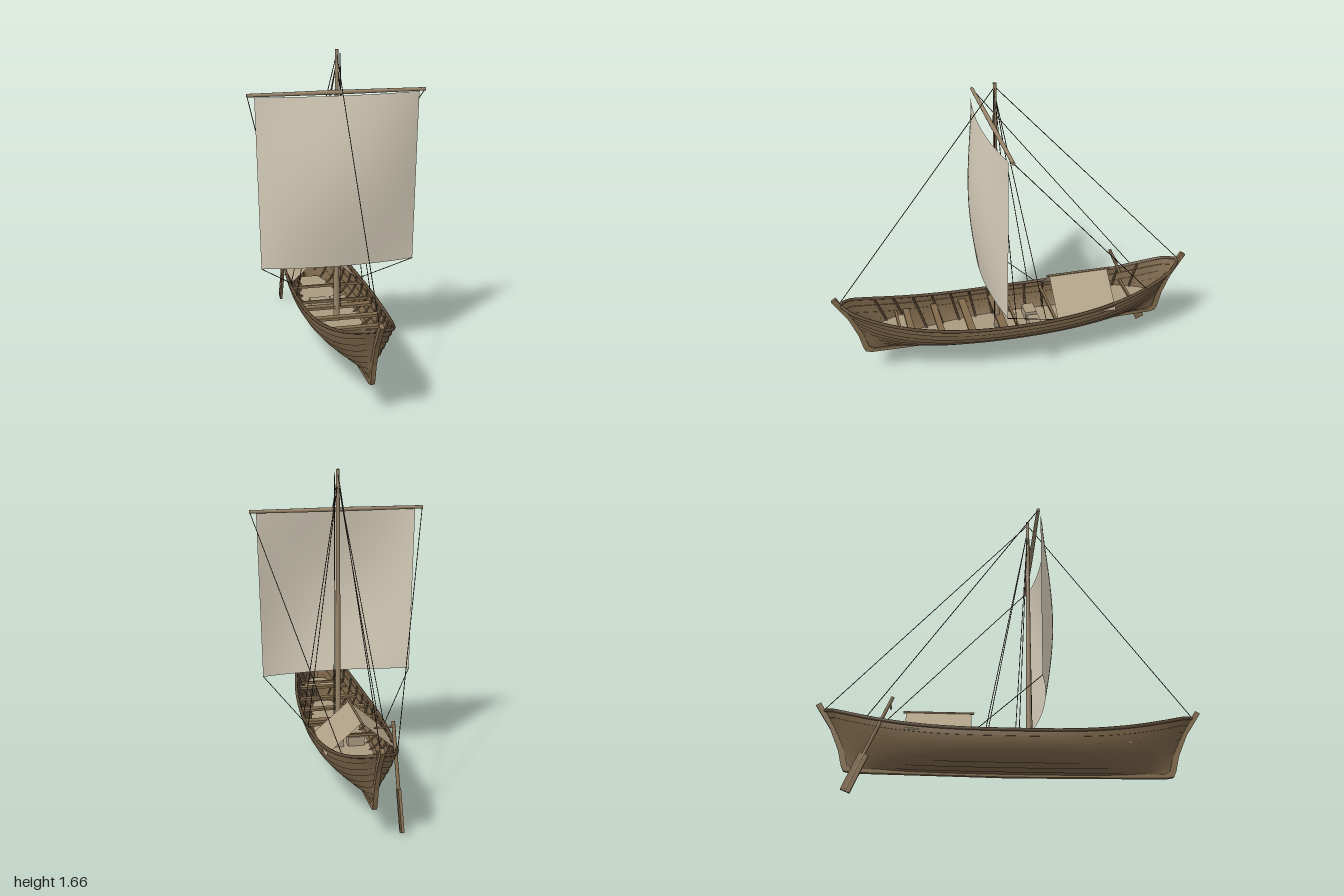
import * as THREE from 'three';
import { mergeGeometries } from 'three/addons/utils/BufferGeometryUtils.js';

const flat = (name, color, side = THREE.FrontSide) => {
  const m = new THREE.MeshStandardMaterial({ color, side });
  m.name = name;
  return m;
};
const V = (x, y, z) => new THREE.Vector3(x, y, z);
const mix = THREE.MathUtils.lerp;

// Surface from a function of (a, b), both 0..1
function grid(fn, na, nb) {
  const pos = [], idx = [];
  for (let i = 0; i <= na; i++) for (let j = 0; j <= nb; j++) pos.push(...fn(i / na, j / nb).toArray());
  for (let i = 0; i < na; i++) for (let j = 0; j < nb; j++) {
    const p = i * (nb + 1) + j, q = p + nb + 1;
    idx.push(p, q, p + 1, q, q + 1, p + 1);
  }
  const g = new THREE.BufferGeometry();
  g.setAttribute('position', new THREE.Float32BufferAttribute(pos, 3));
  g.setIndex(idx);
  g.computeVertexNormals();
  return g;
}

// Hull skin: u runs stern to bow (-1..1), v from keel to sheer (0..1)
function hull(u, v, out = 0, side = 1) {
  const t = v * Math.PI / 2, end = Math.pow(u, 4), a = Math.abs(u);
  const beam = 0.193 * Math.pow(Math.max(0, 1 - u * u), 0.55) + 0.012;
  const keelY = 0.16 + 0.01 * u * u, sheerY = 0.325 + 0.155 * Math.pow(a, 2.6);
  const y = keelY + (sheerY - keelY) * mix(1 - Math.cos(t), v, end);
  const yEnd = 0.17 + 0.31 * v;
  const zEnd = 0.82 + 0.15 * Math.pow((yEnd - 0.17) / 0.34, 1.5);
  const x = beam * mix(Math.sin(t), v, end);
  return V(side * (x + out * Math.sin(t)), y - out * Math.cos(t), u * zEnd);
}

// Half width of the hull at a given height and station
function halfWidth(z, y) {
  for (let v = 0; v <= 1; v += 0.01) {
    const zEnd = hull(1, v).z;
    if (Math.abs(z) > zEnd) continue;
    const p = hull(z / zEnd, v);
    if (p.y >= y) return p.x;
  }
  return hull(z / 0.945, 1).x;
}

export function createModel() {
  const model = new THREE.Group();
  const planks = flat('hull planks', 0x776247, THREE.DoubleSide);
  const trim = flat('dark trim', 0x5f4d38);
  const bench = flat('bench wood', 0x806a4c);
  const deck = flat('deck boards', 0xaa9a80, THREE.DoubleSide);
  const spar = flat('spar wood', 0x97846a);
  const sailcloth = flat('sailcloth', 0xd6cdb9, THREE.DoubleSide);
  const tentcloth = flat('tent cloth', 0xb0a186, THREE.DoubleSide);
  const rope = flat('rope', 0x3d3429);

  const add = (name, geo, mat, parent = model) => {
    const m = new THREE.Mesh(geo, mat);
    m.name = name;
    parent.add(m);
    return m;
  };
  const group = (name) => {
    const g = new THREE.Group();
    g.name = name;
    model.add(g);
    return g;
  };
  // Straight round bar between two points
  const bar = (name, a, b, r0, r1, mat, parent, sides = 10) => {
    const m = add(name, new THREE.CylinderGeometry(r1, r0, a.distanceTo(b), sides), mat, parent);
    m.position.copy(a).add(b).multiplyScalar(0.5);
    m.quaternion.setFromUnitVectors(V(0, 1, 0), b.clone().sub(a).normalize());
    return m;
  };

  // Overlapping planks, with a narrow ledge under each
  const strakes = [], N = 8, LAP = 0.006;
  for (const s of [-1, 1]) for (let k = 0; k < N; k++) {
    const v0 = k / N, v1 = (k + 1) / N;
    strakes.push(grid((a, b) => hull(a * 2 - 1, mix(v0, v1, b), LAP * (1 - b), s), 56, 3));
    if (k) strakes.push(grid((a, b) => hull(a * 2 - 1, v0, LAP * b, s), 56, 1));
  }
  add('hullPlanks', mergeGeometries(strakes), planks);

  // Keel and both curved end posts in one outline
  const outer = [[0.8, 0.152], [0.84, 0.16], [0.853, 0.19], [0.872, 0.27], [0.92, 0.385], [1, 0.51]];
  const inner = [[0.975, 0.525], [0.89, 0.385], [0.842, 0.27], [0.82, 0.19], [0.79, 0.172]];
  const rim = [...outer, ...inner];
  const keelShape = new THREE.Shape();
  keelShape.moveTo(0, 0.142);
  rim.forEach(([z, y]) => keelShape.lineTo(z, y));
  keelShape.lineTo(0, 0.165);
  rim.slice().reverse().forEach(([z, y]) => keelShape.lineTo(-z, y));
  const keelGeo = new THREE.ExtrudeGeometry(keelShape, { depth: 0.022, bevelEnabled: false });
  keelGeo.translate(0, 0, -0.011).rotateY(-Math.PI / 2);
  add('keelAndPosts', keelGeo, bench);

  // Gunwales and ribs
  const ribs = group('ribs');
  for (const s of [-1, 1]) {
    const rail = [], inside = [];
    for (let i = 0; i <= 40; i++) rail.push(hull(i / 20 - 1, 1, 0.002, s));
    add('gunwale', new THREE.TubeGeometry(new THREE.CatmullRomCurve3(rail), 80, 0.009, 6), trim);
    for (let k = -7; k <= 7; k++) {
      const pts = [0.3, 0.45, 0.6, 0.8, 0.98].map((v) => hull(k * 0.115, v, -0.005, s));
      add('rib', new THREE.TubeGeometry(new THREE.CatmullRomCurve3(pts), 10, 0.006, 4), trim, ribs);
    }
  }

  // Floor and raised end decks
  const floor = (name, z0, z1, y) => add(name, grid((a, b) => {
    const z = mix(z0, z1, a);
    return V((halfWidth(z, y) - 0.003) * (1 - 2 * b), y, z);
  }, 16, 1), deck);
  floor('floor', -0.62, 0.62, 0.2);
  floor('bowDeck', 0.6, 0.81, 0.285);
  floor('sternDeck', -0.81, -0.55, 0.285);

  // Benches and cross beams: [z, depth, y]
  const benches = group('benches');
  for (const [z, d, y] of [[-0.66, 0.014, 0.31], [-0.2, 0.014, 0.29], [0.015, 0.014, 0.28], [0.09, 0.045, 0.275],
    [0.265, 0.04, 0.28], [0.43, 0.035, 0.285], [0.59, 0.035, 0.3], [0.65, 0.014, 0.31]]) {
    const w = halfWidth(z, y) * 2 - 0.004;
    add('bench', new THREE.BoxGeometry(w, 0.014, d), bench, benches).position.set(0, y, z);
  }
  for (const s of [-1, 1]) {
    add('chest', new THREE.BoxGeometry(0.09, 0.05, 0.065), deck).position.set(s * 0.057, 0.225, -0.1);
  }

  // Tent with open ends and a ridge pole
  for (const s of [-1, 1]) {
    add('tentSlope', grid((a, b) => V(s * 0.183 * b, mix(0.484, 0.325, b), mix(-0.2, -0.535, a)), 1, 1), tentcloth);
  }
  bar('ridgePole', V(0, 0.486, -0.185), V(0, 0.486, -0.55), 0.006, 0.006, bench, model, 8);

  // Mast, yard and billowing sail
  bar('mast', V(0, 0.18, 0.1), V(0, 1.66, 0.1), 0.016, 0.009, spar, model, 14);
  for (const s of [-1, 1]) bar('yard', V(0, 1.445, 0.12), V(s * 0.468, 1.445, 0.12), 0.012, 0.009, spar);
  add('sail', grid((a, b) => {
    const k = a * 2 - 1;
    const z = 0.135 + (1 - k * k) * (0.045 + 0.05 * Math.sin(Math.PI * b));
    return V(k * mix(0.43, 0.41, b), mix(1.437, 0.533, b), z);
  }, 24, 24), sailcloth);

  // Rigging
  const rigging = group('rigging');
  const line = (name, a, b) => bar(name, a, b, 0.0022, 0.0022, rope, rigging, 5);
  line('forestay', V(0, 1.64, 0.1), V(0, 0.48, 0.965));
  line('backstay', V(0, 1.64, 0.1), V(0, 0.48, -0.965));
  line('halyard', V(0.016, 1.64, 0.105), V(0.018, 1.45, 0.115));
  line('halyardFall', V(0.016, 1.64, 0.105), V(0.02, 0.28, 0.118));
  for (const s of [-1, 1]) {
    line('foreShroud', V(0, 1.6, 0.1), V(s * 0.205, 0.33, 0.035));
    line('aftShroud', V(0, 1.6, 0.1), V(s * 0.205, 0.33, -0.13));
    line('sheet', V(s * 0.41, 0.535, 0.137), V(s * 0.203, 0.335, -0.165));
    line('brace', V(s * 0.465, 1.445, 0.12), V(s * 0.135, 0.4, -0.73));
  }

  // Steering oar with tiller
  const oar = group('steeringOar');
  oar.position.set(-0.143, 0.26, -0.705);
  oar.rotation.x = 0.398;
  add('oarShaft', new THREE.CylinderGeometry(0.009, 0.009, 0.53, 10), bench, oar).position.y = 0.005;
  add('oarBlade', new THREE.BoxGeometry(0.014, 0.21, 0.05), bench, oar).position.y = -0.165;
  bar('tiller', V(-0.143, 0.485, -0.613), V(-0.045, 0.485, -0.613), 0.006, 0.005, bench, model, 8);

  return model;
}
